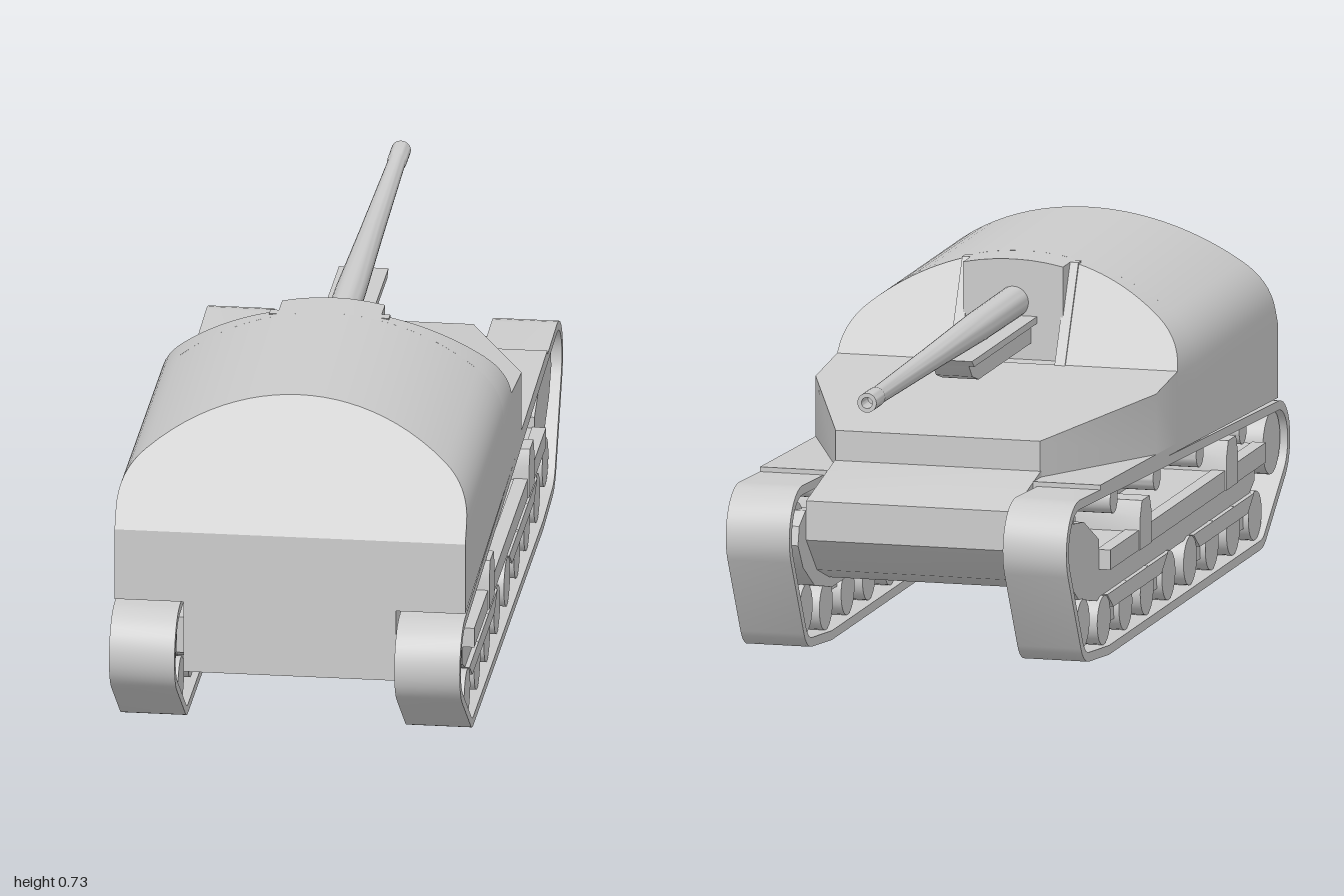
import * as THREE from 'three';
import { toCreasedNormals } from 'three/addons/utils/BufferGeometryUtils.js';

const material = new THREE.MeshStandardMaterial({ color: 0xcccccc });

function add(parent, name, geometry) {
  const mesh = new THREE.Mesh(toCreasedNormals(geometry, 0.5), material);
  mesh.name = name;
  parent.add(mesh);
  return mesh;
}

const shapeOf = (pts) => new THREE.Shape(pts.map(([x, y]) => new THREE.Vector2(x, y)));

function extrude(shape, depth) {
  return new THREE.ExtrudeGeometry(shape, { depth, bevelEnabled: false });
}

// Move every vertex by a rule
function reshape(geometry, rule) {
  const p = geometry.attributes.position;
  const v = new THREE.Vector3();
  for (let i = 0; i < p.count; i++) {
    rule(v.fromBufferAttribute(p, i));
    p.setXYZ(i, v.x, v.y, v.z);
  }
  return geometry;
}

// Side profile of [z, y] points, extruded from x0 to x1
function sideProfile(pts, x0, x1) {
  const g = extrude(shapeOf(pts.map(([z, y]) => [-z, y])), x1 - x0);
  return g.rotateY(Math.PI / 2).translate(x0, 0, 0);
}

// Cylinder lying across the vehicle
function roller(z, y, r, x0, x1) {
  return new THREE.CylinderGeometry(r, r, x1 - x0, 28).rotateZ(Math.PI / 2).translate((x0 + x1) / 2, y, z);
}

// Belt outline around circles [z, y, r], each radius reduced by inset
function belt(circles, inset) {
  const n = circles.length;
  const c = circles.map(([z, y, r]) => [-z, y, r - inset]);
  const angles = c.map((a, i) => {
    const b = c[(i + 1) % n];
    const dx = b[0] - a[0], dy = b[1] - a[1];
    return Math.atan2(dy, dx) - Math.PI / 2 + Math.asin((a[2] - b[2]) / Math.hypot(dx, dy));
  });
  const pts = [];
  c.forEach(([x, y, r], i) => {
    const start = angles[(i + n - 1) % n];
    let sweep = (angles[i] - start) % (2 * Math.PI);
    if (sweep < 0) sweep += 2 * Math.PI;
    const steps = Math.max(2, Math.ceil(sweep / 0.2));
    for (let k = 0; k <= steps; k++) {
      const t = start + (sweep * k) / steps;
      pts.push([x + r * Math.cos(t), y + r * Math.sin(t)]);
    }
  });
  return pts;
}

// Height of the sloping fender line
const fenderY = (z) => 0.36 - 0.039 * z;

// Right half of the arched roof, from the wall up to x = xEnd
const R = 0.51;
const roofY = (x) => 0.725 - R + Math.sqrt(R * R - x * x);
function roofHalf(xEnd) {
  const shoulder = new THREE.QuadraticBezierCurve(
    new THREE.Vector2(0.375, 0.5), new THREE.Vector2(0.375, 0.568), new THREE.Vector2(0.32, roofY(0.32)));
  const pts = shoulder.getPoints(8).map((p) => [p.x, p.y]);
  for (let i = 1; i <= 12; i++) {
    const x = 0.32 + ((xEnd - 0.32) * i) / 12;
    pts.push([x, roofY(x)]);
  }
  return pts;
}
const mirrored = (pts) => pts.map(([x, y]) => [-x, y]).reverse();

// Section extruded along z, with both ends set by the height
function lengthwise(pts, zMin, zMax) {
  return reshape(extrude(shapeOf(pts), 1), (v) => { v.z = v.z > 0.5 ? zMax(v.y) : zMin(v.y); });
}

function buildBody(model) {
  add(model, 'hull', sideProfile([
    [0.905, 0.145], [-0.48, 0.145], [-0.58, 0.18], [-0.665, 0.26], [-0.665, 0.345],
    [-0.44, 0.39], [0.905, 0.34]], -0.227, 0.227));

  add(model, 'lowerCasemate', sideProfile([
    [0.905, fenderY(0.905)], [0.1, fenderY(0.1)], [0.1, 0.46], [0.905, 0.46]], -0.375, 0.375));

  // Front deck, narrowing towards the gun end
  const half = [[0.375, -0.11], [0.375, 0.06], [0.225, 0.44]];
  const deck = extrude(shapeOf([...half, ...mirrored(half)]), 1).rotateX(-Math.PI / 2);
  add(model, 'frontDeck', reshape(deck, (v) => {
    v.y = v.y > 0.5 ? 0.51 + (v.z - 0.11) * 0.1 : fenderY(v.z);
  }));

  // Arched casemate with a sloping back
  const roof = roofHalf(0);
  const arch = [[-0.375, 0.46], [0.375, 0.46], ...roof, ...mirrored(roof).slice(1)];
  add(model, 'casemate', lengthwise(arch, () => 0.25, (y) => 0.905 - (y - 0.46) * 0.585));

  // Sloping face on both sides of the gun slot
  const slope = (y) => 0.11 + (y - 0.51) * 0.535;
  const cheek = [[0.11, 0.46], [0.375, 0.46], ...roofHalf(0.11)];
  for (const s of [1, -1]) {
    const face = add(model, 'casemateFace', lengthwise(cheek, slope, () => 0.25));
    const frame = add(model, 'slotFrame', sideProfile(
      [[0.235, 0.713], [0.12, 0.505], [0.103, 0.505], [0.212, 0.713]], 0.105, 0.128));
    face.scale.x = frame.scale.x = s;
  }

  const slot = [];
  for (let i = 0; i <= 6; i++) slot.push([0.11 - (0.22 * i) / 6, roofY(0.11 - (0.22 * i) / 6)]);
  add(model, 'mantlet', lengthwise([[-0.11, 0.46], [0.11, 0.46], ...slot], () => 0.155, () => 0.25));
  add(model, 'slotFloor', new THREE.BoxGeometry(0.22, 0.05, 0.15).translate(0, 0.484, 0.175));
}

function buildGun(model) {
  // Barrel profile of [radius, distance from the mantlet]
  const profile = [[0, 0], [0.034, 0], [0.033, 0.3], [0.026, 0.65], [0.019, 1.09],
    [0.021, 1.1], [0.021, 1.17], [0.012, 1.17], [0.012, 1.12], [0, 1.12]];
  const barrel = new THREE.LatheGeometry(profile.map(([r, d]) => new THREE.Vector2(r, d)), 28);
  add(model, 'barrel', barrel.rotateX(-Math.PI / 2).translate(0, 0.632, 0.17));
  add(model, 'cradle', sideProfile([
    [0.17, 0.545], [-0.26, 0.545], [-0.31, 0.56], [-0.34, 0.59], [0.17, 0.59]], -0.04, 0.04));
  add(model, 'cradlePlate', sideProfile([
    [0.17, 0.588], [-0.34, 0.588], [-0.36, 0.603], [0.17, 0.603]], -0.053, 0.053));
}

function buildRunningGear() {
  const side = new THREE.Group();
  side.name = 'runningGear';

  const circles = [[0.905, 0.2, 0.095], [0.767, 0.073, 0.073], [-0.43, 0.073, 0.073],
    [-0.585, 0.095, 0.08], [-0.67, 0.278, 0.1]];
  const loop = shapeOf(belt(circles, 0));
  loop.holes.push(shapeOf(belt(circles, 0.02).reverse()));
  const track = extrude(loop, 0.14).rotateY(Math.PI / 2).translate(0.235, 0, 0);
  add(side, 'track', track);

  add(side, 'fender', sideProfile([
    [0.905, fenderY(0.905) - 0.022], [-0.5, fenderY(-0.5) - 0.015],
    [-0.5, fenderY(-0.5)], [0.905, fenderY(0.905)]], 0.227, 0.375));

  add(side, 'idler', roller(0.905, 0.205, 0.068, 0.25, 0.36));
  add(side, 'sprocket', roller(-0.665, 0.275, 0.065, 0.25, 0.35));
  add(side, 'leadWheel', roller(-0.585, 0.095, 0.053, 0.25, 0.36));
  for (const z of [0.68, 0.34, 0, -0.34]) {
    add(side, 'returnRoller', roller(z, 0.274 - (z - 0.68) * 0.043, 0.03, 0.22, 0.36));
  }

  // Suspension beam with the final drive housing at its end
  add(side, 'suspensionBeam', sideProfile([
    [0.79, 0.145], [0.74, 0.12], [-0.46, 0.12], [-0.6, 0.15], [-0.69, 0.205], [-0.73, 0.26],
    [-0.72, 0.3], [-0.67, 0.325], [-0.56, 0.31], [-0.44, 0.25], [-0.44, 0.225], [0.79, 0.225]], 0.227, 0.355));
  add(side, 'skirtRail', sideProfile([
    [0.79, 0.185], [-0.44, 0.185], [-0.44, 0.228], [0.79, 0.228]], 0.35, 0.38));

  // Two bogies, each with a bracket and two rocking pairs of wheels
  for (const c of [0.512, -0.17]) {
    add(side, 'bogieBracket', sideProfile([
      [c + 0.045, 0.185], [c - 0.045, 0.185], [c - 0.045, 0.255], [c - 0.03, 0.29],
      [c + 0.03, 0.29], [c + 0.045, 0.255]], 0.24, 0.383));
    add(side, 'bogieFrame', sideProfile([
      [c + 0.19, 0.09], [c - 0.19, 0.09], [c - 0.24, 0.125], [c + 0.24, 0.125]], 0.26, 0.365));
    for (const p of [c + 0.17, c - 0.17]) {
      add(side, 'rocker', sideProfile([
        [p + 0.1, 0.075], [p + 0.06, 0.053], [p - 0.06, 0.053], [p - 0.1, 0.075],
        [p - 0.06, 0.1], [p + 0.06, 0.1]], 0.27, 0.35));
      for (const dz of [0.086, -0.086]) add(side, 'roadWheel', roller(p + dz, 0.073, 0.053, 0.25, 0.362));
    }
  }
  return side;
}

export function createModel() {
  const model = new THREE.Group();
  model.name = 'selfPropelledGun';
  buildBody(model);
  buildGun(model);
  for (const s of [1, -1]) {
    const side = buildRunningGear();
    side.scale.x = s;
    model.add(side);
  }
  return model;
}
